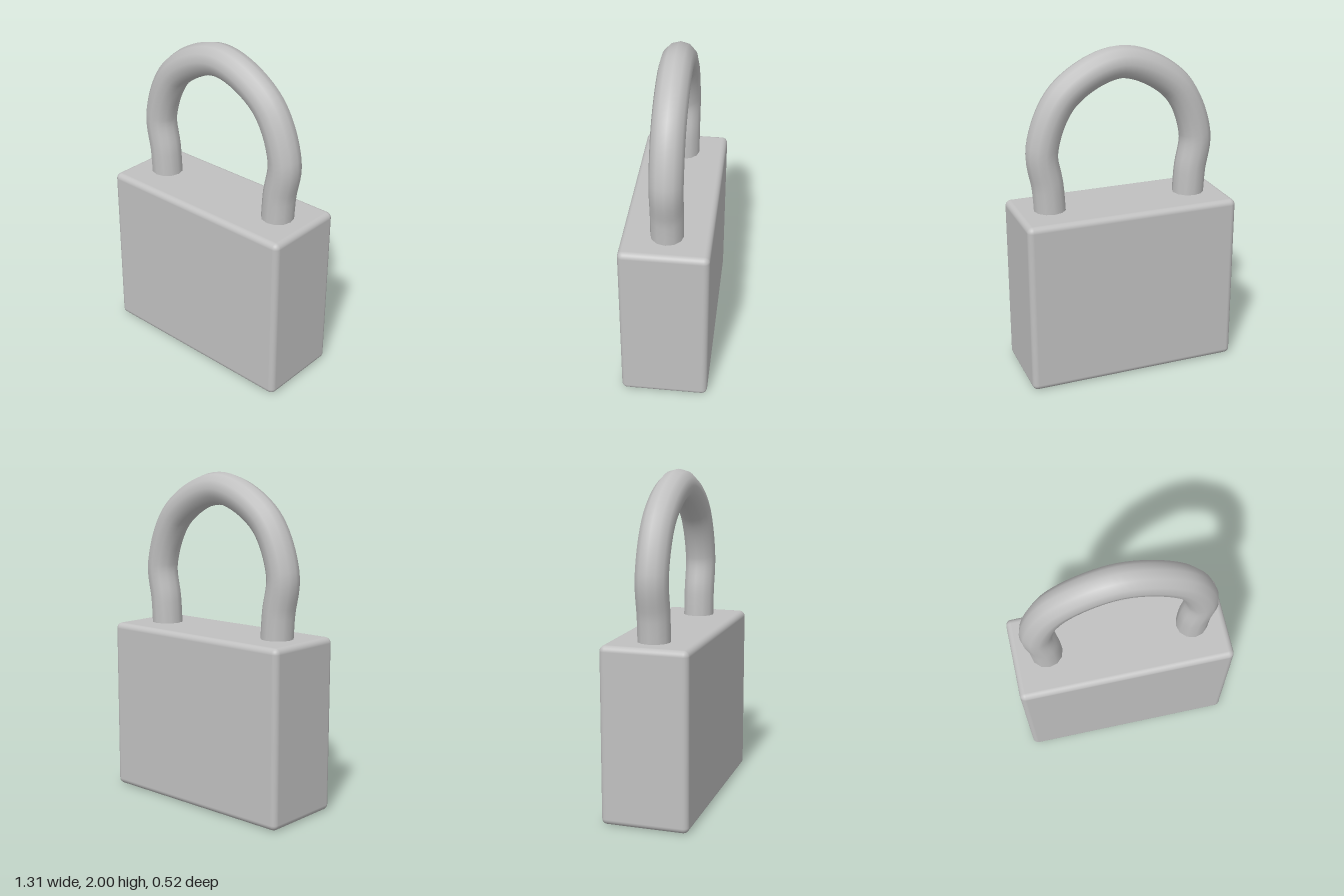
import * as THREE from 'three';
import { RoundedBoxGeometry } from 'three/addons/geometries/RoundedBoxGeometry.js';

export function createModel() {
  const model = new THREE.Group();
  model.name = 'padlock';
  const steel = new THREE.MeshStandardMaterial({ color: 0xc0c0c0 });
  steel.name = 'steel grey';

  // Body: softly rounded block
  const height = 1.055;
  const body = new THREE.Mesh(new RoundedBoxGeometry(1.31, height, 0.524, 4, 0.035), steel);
  body.name = 'body';
  body.position.y = height / 2;
  model.add(body);

  // Shackle: mirrored centre line, bulging above the legs; ends sunk in the body
  const half = [[0.444, 1.0], [0.456, 1.2], [0.484, 1.43], [0.345, 1.74]];
  const points = [
    ...half.map(([x, y]) => new THREE.Vector3(-x, y, 0)),
    new THREE.Vector3(0, 1.903, 0),
    ...half.slice().reverse().map(([x, y]) => new THREE.Vector3(x, y, 0)),
  ];
  const path = new THREE.CatmullRomCurve3(points);
  const shackle = new THREE.Mesh(new THREE.TubeGeometry(path, 64, 0.097, 12), steel);
  shackle.name = 'shackle';
  model.add(shackle);

  return model;
}
